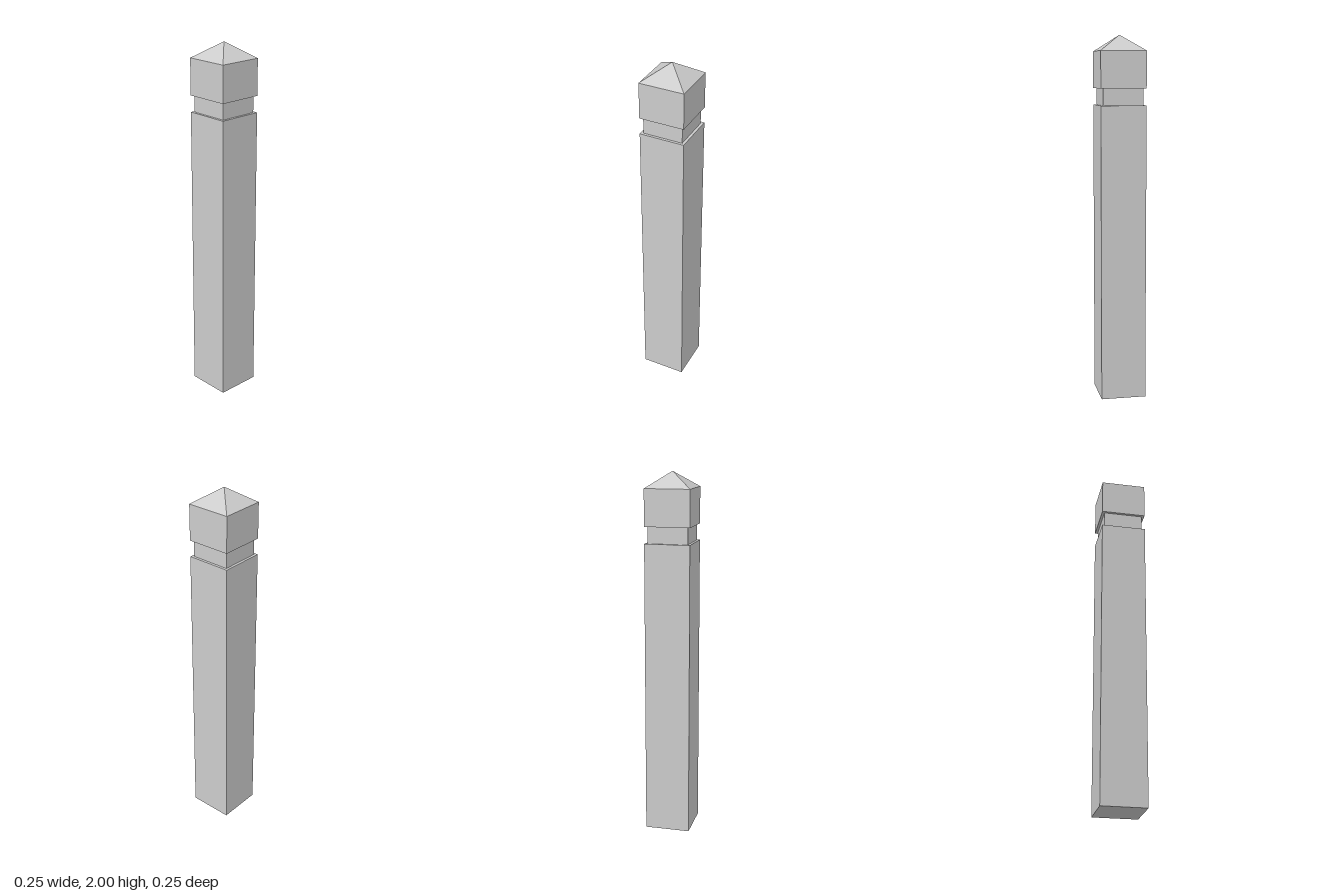
import * as THREE from 'three';

const WIDTH = 0.248;
const NECK_WIDTH = 0.219;
// Heights where one part meets the next
const SHAFT_TOP = 1.625, NECK_TOP = 1.715, HEAD_TOP = 1.914, TIP = 2;

export function createModel() {
  const post = new THREE.Group();
  post.name = 'bollard';
  const material = new THREE.MeshStandardMaterial({ color: 0xcccccc, flatShading: true });

  const add = (name, geometry, bottom, top) => {
    const mesh = new THREE.Mesh(geometry, material);
    mesh.name = name;
    mesh.position.y = (bottom + top) / 2;
    post.add(mesh);
  };
  const addBlock = (name, width, bottom, top) =>
    add(name, new THREE.BoxGeometry(width, top - bottom, width), bottom, top);

  // Square post with a recessed band below the head
  addBlock('shaft', WIDTH, 0, SHAFT_TOP);
  addBlock('neck', NECK_WIDTH, SHAFT_TOP, NECK_TOP);
  addBlock('head', WIDTH, NECK_TOP, HEAD_TOP);

  // Four-sided pyramid, turned so its edges line up with the head
  const cap = new THREE.ConeGeometry(WIDTH / Math.SQRT2, TIP - HEAD_TOP, 4, 1, true);
  cap.rotateY(Math.PI / 4);
  add('pyramidCap', cap, HEAD_TOP, TIP);

  return post;
}
